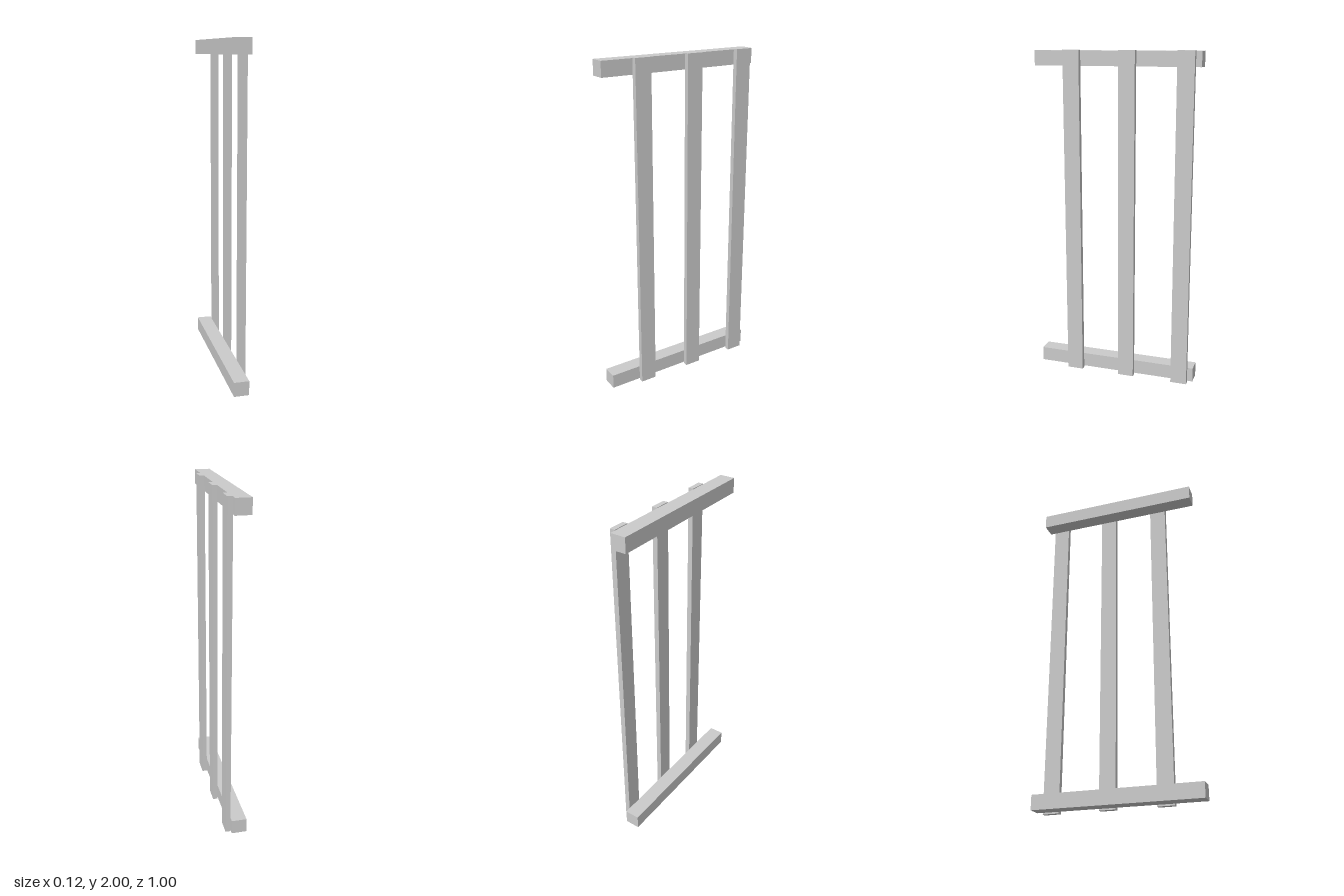
import * as THREE from 'three';

export function createModel() {
  const group = new THREE.Group();
  const material = new THREE.MeshStandardMaterial({ color: 0xcccccc, flatShading: true });

  const addBeam = (name, size, position) => {
    const mesh = new THREE.Mesh(new THREE.BoxGeometry(...size), material);
    mesh.name = name;
    mesh.position.set(...position);
    group.add(mesh);
  };

  // Horizontal rails along z
  addBeam('bottomRail', [0.09, 0.087, 1], [-0.015, 0.053, 0]);
  addBeam('topRail', [0.09, 0.087, 1], [-0.015, 1.953, 0]);

  // Vertical slats fixed to the +x face of the rails
  [0.262, -0.075, -0.417].forEach((z, i) => {
    addBeam(`slat${i + 1}`, [0.03, 2, 0.099], [0.045, 1, z]);
  });

  return group;
}
